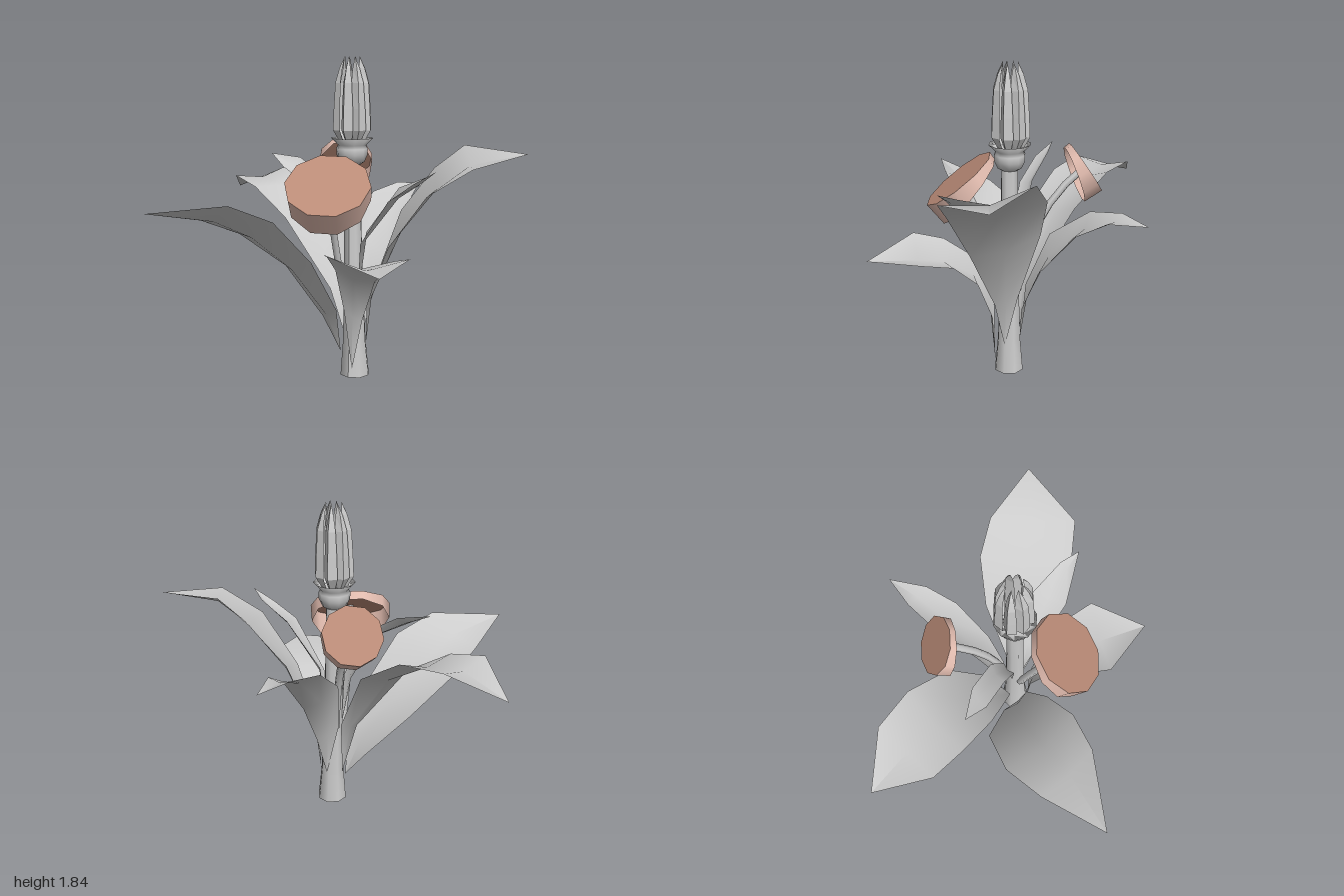
import * as THREE from 'three';

const V = (p) => new THREE.Vector3(...p);
const grey = new THREE.MeshStandardMaterial({ color: 0xcccccc, side: THREE.DoubleSide });
const facetedGrey = new THREE.MeshStandardMaterial({ color: 0xcccccc, side: THREE.DoubleSide, flatShading: true });
const brown = new THREE.MeshStandardMaterial({ color: 0xbb8c78, side: THREE.DoubleSide });
const pink = new THREE.MeshStandardMaterial({ color: 0xe3bdb0, side: THREE.DoubleSide });

function add(parent, name, geometry, material) {
  const mesh = new THREE.Mesh(geometry, material);
  mesh.name = name;
  parent.add(mesh);
  return mesh;
}

const lathe = (profile, sides) => new THREE.LatheGeometry(profile.map((p) => new THREE.Vector2(...p)), sides);

// Sheet through equally long rows of points
function sheet(rows) {
  const n = rows[0].length, index = [];
  for (let i = 0; i < rows.length - 1; i++) {
    for (let j = 0; j < n - 1; j++) {
      const a = i * n + j, b = a + n;
      index.push(a, a + 1, b, a + 1, b + 1, b);
    }
  }
  const g = new THREE.BufferGeometry().setFromPoints(rows.flat());
  g.setIndex(index);
  g.computeVertexNormals();
  return g;
}

// Leaf from its two edges, with a keel sunk along the middle
function leaf(base, tip, edgeA, edgeB, fold) {
  const b = V(base), t = V(tip);
  const A = [b, ...edgeA.map(V), t], B = [b, ...edgeB.map(V), t];
  const under = new THREE.Vector3(t.x - b.x, 0, t.z - b.z).normalize().multiplyScalar(0.7);
  under.y = -1;
  const rows = A.map((p, i) => {
    const q = B[i], mid = p.clone().add(q).multiplyScalar(0.5);
    if (i > 0 && i < A.length - 1) {
      const along = A[i + 1].clone().add(B[i + 1]).sub(A[i - 1]).sub(B[i - 1]);
      const across = q.clone().sub(p);
      const normal = across.clone().cross(along).normalize();
      if (normal.dot(under) < 0) normal.negate();
      mid.addScaledVector(normal, fold * across.length());
    }
    return [p, mid, q];
  });
  return sheet(rows);
}

// Ten-sided cap flower, open below, on a curved stalk
function capFlower(name, center, normal, radius, depth, stalkStart, stalkBend) {
  const flower = new THREE.Group();
  flower.name = name;
  const n = V(normal).normalize(), c = V(center);
  const head = new THREE.Group();
  head.name = name + 'Head';
  head.position.copy(c);
  head.quaternion.setFromUnitVectors(new THREE.Vector3(0, 1, 0), n);

  // The rim is deep on the low side and shallow on the high side
  const low = new THREE.Vector3(0, -1, 0).applyQuaternion(head.quaternion.clone().invert()).setY(0).normalize();
  const rim = new THREE.CylinderGeometry(radius, radius * 0.98, depth, 10, 1, true).translate(0, -depth / 2, 0);
  const pos = rim.attributes.position;
  for (let i = 0; i < pos.count; i++) {
    const side = (pos.getX(i) * low.x + pos.getZ(i) * low.z) / radius;
    pos.setY(i, pos.getY(i) * (0.65 + 0.35 * side));
  }
  add(head, 'rim', rim, pink);
  add(head, 'face', new THREE.CircleGeometry(radius, 10, Math.PI / 2).rotateX(-Math.PI / 2), brown);
  flower.add(head);
  const path = new THREE.QuadraticBezierCurve3(V(stalkStart), V(stalkBend), c.clone().addScaledVector(n, -0.01));
  add(flower, 'stalk', new THREE.TubeGeometry(path, 6, 0.022, 6), grey);
  return flower;
}

export function createModel() {
  const plant = new THREE.Group();
  plant.name = 'plant';

  // Leaning main stem, flared at the foot
  const stem = lathe([[0.088, 0], [0.07, 0.2], [0.06, 0.5], [0.052, 0.9], [0.05, 1.26]], 8);
  const pos = stem.attributes.position;
  for (let i = 0; i < pos.count; i++) pos.setX(i, pos.getX(i) + 0.07 - 0.016 * pos.getY(i));
  stem.computeVertexNormals();
  add(plant, 'stem', stem, grey);

  // Cup below the bud
  const cup = [[0.045, 1.235], [0.07, 1.25], [0.088, 1.29], [0.09, 1.325], [0.08, 1.345], [0.12, 1.385], [0.085, 1.37], [0, 1.37]];
  add(plant, 'cup', lathe(cup, 10), grey).position.x = 0.05;

  // Closed bud of overlapping petals: [height, radius, half angle]
  const bud = new THREE.Group();
  bud.name = 'bud';
  bud.position.set(0.049, 0, -0.005);
  const profile = [[1.365, 0.075, 0.4], [1.43, 0.114, 0.5], [1.55, 0.109, 0.48], [1.69, 0.1, 0.42], [1.77, 0.076, 0.3], [1.835, 0.044, 0]];
  for (let k = 0; k < 8; k++) {
    const turn = (k * Math.PI) / 4;
    const rows = profile.map(([y, r, half]) => [-1, 0, 1].map((s) => {
      const a = turn + s * half;
      const radius = half ? r * [0.65, 1, 0.9][s + 1] : r;
      return new THREE.Vector3(Math.sin(a) * radius, y, Math.cos(a) * radius);
    }));
    add(bud, 'petal', sheet(rows), facetedGrey);
  }
  plant.add(bud);

  // Large lower leaves
  add(plant, 'backRightLeaf', leaf([-0.005, 0.2, -0.03], [-1, 1.0, -0.44],
    [[-0.02, 0.55, -0.1], [-0.2, 0.96, -0.31], [-0.44, 1.13, -0.44], [-0.68, 1.14, -0.51]],
    [[-0.08, 0.5, 0.02], [-0.38, 0.9, 0.02], [-0.63, 1.06, -0.05], [-0.83, 1.11, -0.14]], 0.1), grey);
  add(plant, 'frontRightLeaf', leaf([0, 0.14, 0.045], [-0.78, 1.01, 0.81],
    [[-0.14, 0.32, 0], [-0.4, 0.61, 0], [-0.6, 0.81, 0.18], [-0.7, 0.92, 0.42]],
    [[0, 0.4, 0.1], [-0.08, 0.7, 0.25], [-0.21, 0.95, 0.44], [-0.39, 1.05, 0.6]], 0.12), grey);
  add(plant, 'leftLeaf', leaf([0.14, 0.18, 0], [0.99, 1.31, -0.25],
    [[0.14, 0.5, -0.08], [0.25, 0.95, -0.25], [0.42, 1.2, -0.34], [0.6, 1.34, -0.34]],
    [[0.17, 0.45, 0.05], [0.33, 0.8, 0.13], [0.56, 1.1, 0.16], [0.79, 1.25, 0.1]], 0.1), grey);
  add(plant, 'frontLeftLeaf', leaf([0.09, 0.05, 0.08], [0.52, 0.77, 0.67],
    [[0.05, 0.4, 0.1], [0.04, 0.66, 0.19], [0.09, 0.79, 0.4], [0.16, 0.83, 0.56]],
    [[0.15, 0.35, 0.07], [0.25, 0.6, 0.12], [0.4, 0.75, 0.2], [0.54, 0.8, 0.32]], 0.16), grey);
  add(plant, 'backLeaf', leaf([0.08, 0.2, -0.07], [0.18, 1.04, -0.82],
    [[0, 0.53, -0.08], [-0.04, 0.85, -0.21], [-0.02, 1.02, -0.45], [0.06, 1.06, -0.65]],
    [[0.13, 0.43, -0.1], [0.17, 0.68, -0.21], [0.21, 0.94, -0.42], [0.21, 1.04, -0.6]], 0.12), grey);

  // Slender upper leaves
  add(plant, 'upperRightLeaf', leaf([0.01, 0.5, 0], [-0.52, 1.27, -0.07],
    [[-0.02, 0.85, -0.04], [-0.14, 1.13, -0.07], [-0.34, 1.25, -0.1]],
    [[-0.04, 0.8, 0.03], [-0.2, 1.09, 0.03], [-0.4, 1.2, 0]], 0.16), grey);
  add(plant, 'upperLeftLeaf', leaf([0.1, 0.45, 0.03], [0.62, 1.24, 0.18],
    [[0.14, 0.85, 0], [0.34, 1.12, 0], [0.54, 1.2, 0.1]],
    [[0.15, 0.8, 0.1], [0.36, 1.07, 0.2], [0.5, 1.17, 0.19]], 0.16), grey);

  // Side flowers
  plant.add(capFlower('frontFlower', [0.055, 1.155, 0.31], [0.22, 0.79, 0.57], 0.236, 0.15,
    [0.02, 0.5, 0.05], [0, 0.85, 0.14]));
  plant.add(capFlower('backFlower', [-0.175, 1.23, -0.375], [-0.4, 0.55, -0.73], 0.165, 0.12,
    [0.03, 0.5, -0.04], [0, 1.0, -0.1]));
  return plant;
}
